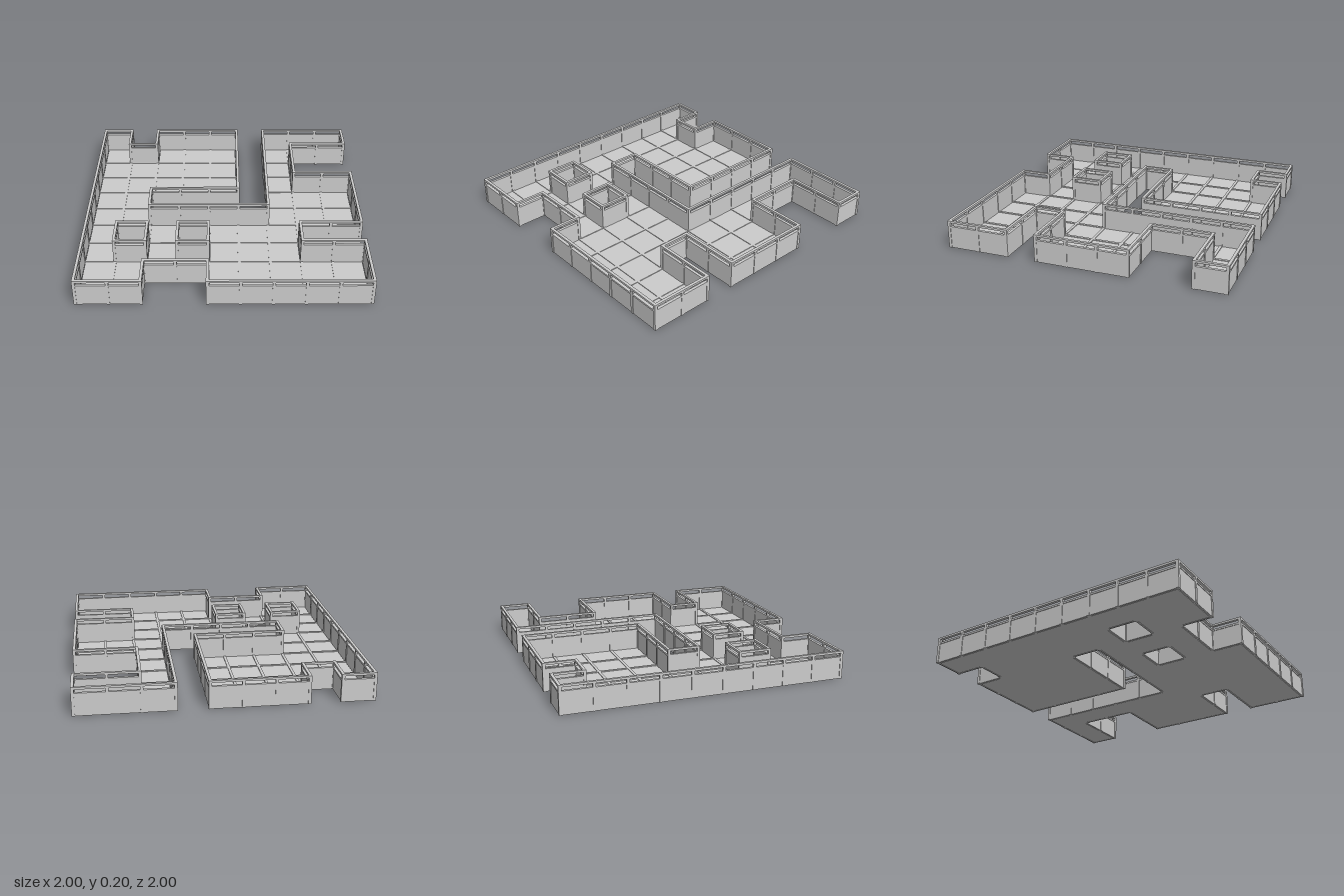
import * as THREE from 'three';

// Floor plan, back row first: # is a tile, . is open ground
const PLAN = [
  '#.###.###',
  '#####.#..',
  '#####.#..',
  '#####.###',
  '##....###',
  '#########',
  '#.#.###..',
  '#########',
  '##..#####',
];
const N = 9, CELL = 0.22, POST = 0.02, HEIGHT = 0.2;
const SPAN = CELL - POST;

const filled = (c, r) => PLAN[r]?.[c] === '#';
const line = (i) => (i - N / 2) * CELL; // position of a grid line

export function createModel() {
  const model = new THREE.Group();
  const material = new THREE.MeshStandardMaterial({ color: 0xcccccc, flatShading: true });

  const groups = {};
  for (const name of ['floor', 'floorSeams', 'walls', 'posts']) {
    groups[name] = new THREE.Group();
    groups[name].name = name;
    model.add(groups[name]);
  }

  // Box standing on height y
  const box = (group, name, [w, h, d], x, y, z) => {
    const mesh = new THREE.Mesh(new THREE.BoxGeometry(w, h, d), material);
    mesh.name = name;
    mesh.position.set(x, y + h / 2, z);
    groups[group].add(mesh);
  };

  // One stretch of grid line: wall on the outline, low seam between two tiles
  const addEdge = (x, z, alongX, a, b) => {
    if (!a && !b) return;
    const size = (h, t) => (alongX ? [SPAN, h, t] : [t, h, SPAN]);
    if (a && b) {
      box('floorSeams', 'floorSeam', size(0.015, POST), x, 0, z);
      return;
    }
    box('walls', 'wallPanel', size(0.147, 0.012), x, 0, z);
    box('walls', 'panelCap', size(0.013, POST), x, 0.147, z);
    box('walls', 'topRail', size(0.015, POST), x, HEIGHT - 0.015, z);
  };

  for (let r = 0; r <= N; r++) {
    for (let c = 0; c <= N; c++) {
      const x = line(c), z = line(r);
      const here = filled(c, r);

      // Floor tile
      if (here) box('floor', 'floorTile', [SPAN, 0.01, SPAN], x + CELL / 2, 0, z + CELL / 2);

      // Walls and seams starting at this grid point
      addEdge(x + CELL / 2, z, true, here, filled(c, r - 1));
      addEdge(x, z + CELL / 2, false, here, filled(c - 1, r));

      // Full post on the outline, low plug where four tiles meet
      const around = [here, filled(c - 1, r), filled(c, r - 1), filled(c - 1, r - 1)];
      const count = around.filter(Boolean).length;
      if (count === 4) box('floorSeams', 'seamCrossing', [POST, 0.015, POST], x, 0, z);
      else if (count > 0) box('posts', 'post', [POST, HEIGHT, POST], x, 0, z);
    }
  }

  return model;
}
